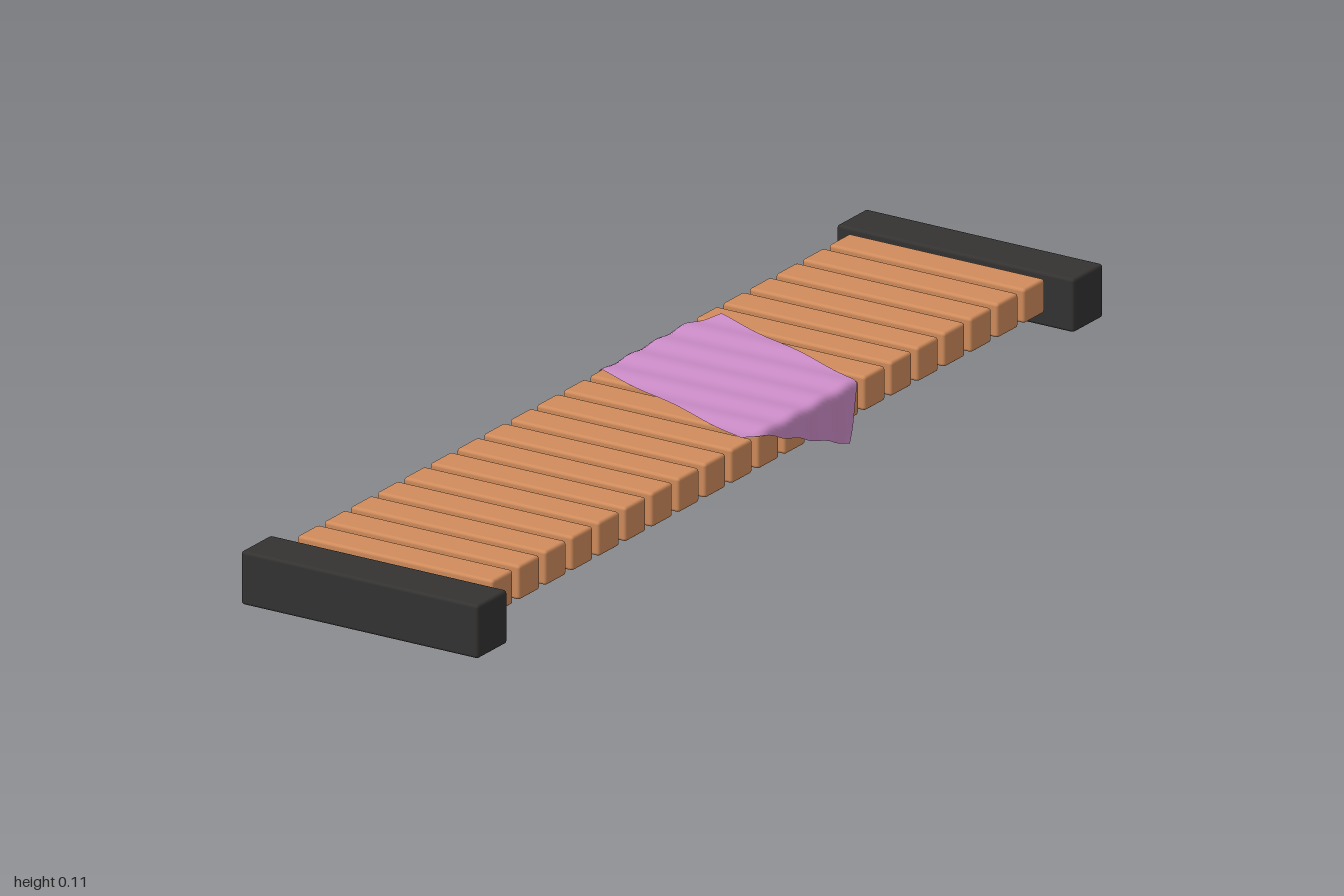
import * as THREE from 'three';
import { RoundedBoxGeometry } from 'three/addons/geometries/RoundedBoxGeometry.js';

const PITCH = 0.085;
const paint = (color, side = THREE.FrontSide) => new THREE.MeshStandardMaterial({ color, side });

function addMesh(parent, name, geometry, material, x, y, z) {
  const mesh = new THREE.Mesh(geometry, material);
  mesh.name = name;
  mesh.position.set(x, y, z);
  parent.add(mesh);
  return mesh;
}

// Rectangular sheet laid askew, sagging between slats and folding down past both slat ends
function clothGeometry() {
  const geo = new THREE.PlaneGeometry(1, 1, 80, 60);
  const pos = geo.attributes.position;
  const edge = 0.193, r = 0.013, top = 0.104, arc = r * Math.PI / 2;
  for (let i = 0; i < pos.count; i++) {
    const u = pos.getX(i) + 0.5, v = 0.5 - pos.getY(i);
    const flatX = -0.17 + 0.475 * u - 0.115 * v;
    const z = -0.42 + 0.18 * u + 0.31 * v;
    const side = Math.sign(flatX), over = Math.abs(flatX) - edge;
    const wave = Math.cos((z / PITCH) * Math.PI * 2);
    let x = flatX, y = top + 0.002 * wave;
    if (over > 0) {
      const a = Math.min(over / r, Math.PI / 2);
      const drop = Math.max(0, over - arc);
      x = side * (edge + r * Math.sin(a) + drop * 0.06 * (1 + wave));
      y -= r * (1 - Math.cos(a)) + drop;
    }
    pos.setXYZ(i, x, y, z);
  }
  geo.computeVertexNormals();
  return geo;
}

export function createModel() {
  const model = new THREE.Group();
  model.name = 'slattedBridge';
  const wood = paint(0xd08c5c), dark = paint(0x343332), rope = paint(0x8a9ba6);

  // End blocks
  const blockGeo = new RoundedBoxGeometry(0.494, 0.1, 0.095, 2, 0.006);
  for (const s of [-1, 1]) addMesh(model, s > 0 ? 'frontBlock' : 'backBlock', blockGeo, dark, 0, 0.05, s * 0.9525);

  // Slats
  const slats = new THREE.Group();
  slats.name = 'slats';
  model.add(slats);
  const slatGeo = new RoundedBoxGeometry(0.408, 0.064, 0.066, 2, 0.006);
  for (let i = -10; i <= 10; i++) addMesh(slats, 'slat', slatGeo, wood, -0.002, 0.068, i * PITCH);

  // Ropes threaded through the slats
  const ropeGeo = new THREE.CylinderGeometry(0.007, 0.007, 1.83, 12).rotateX(Math.PI / 2);
  addMesh(model, 'rightRope', ropeGeo, rope, -0.178, 0.07, 0);
  addMesh(model, 'leftRope', ropeGeo, rope, 0.173, 0.07, 0);

  // Draped cloth
  addMesh(model, 'cloth', clothGeometry(), paint(0xcc8cc8, THREE.DoubleSide), 0, 0, 0);
  return model;
}
